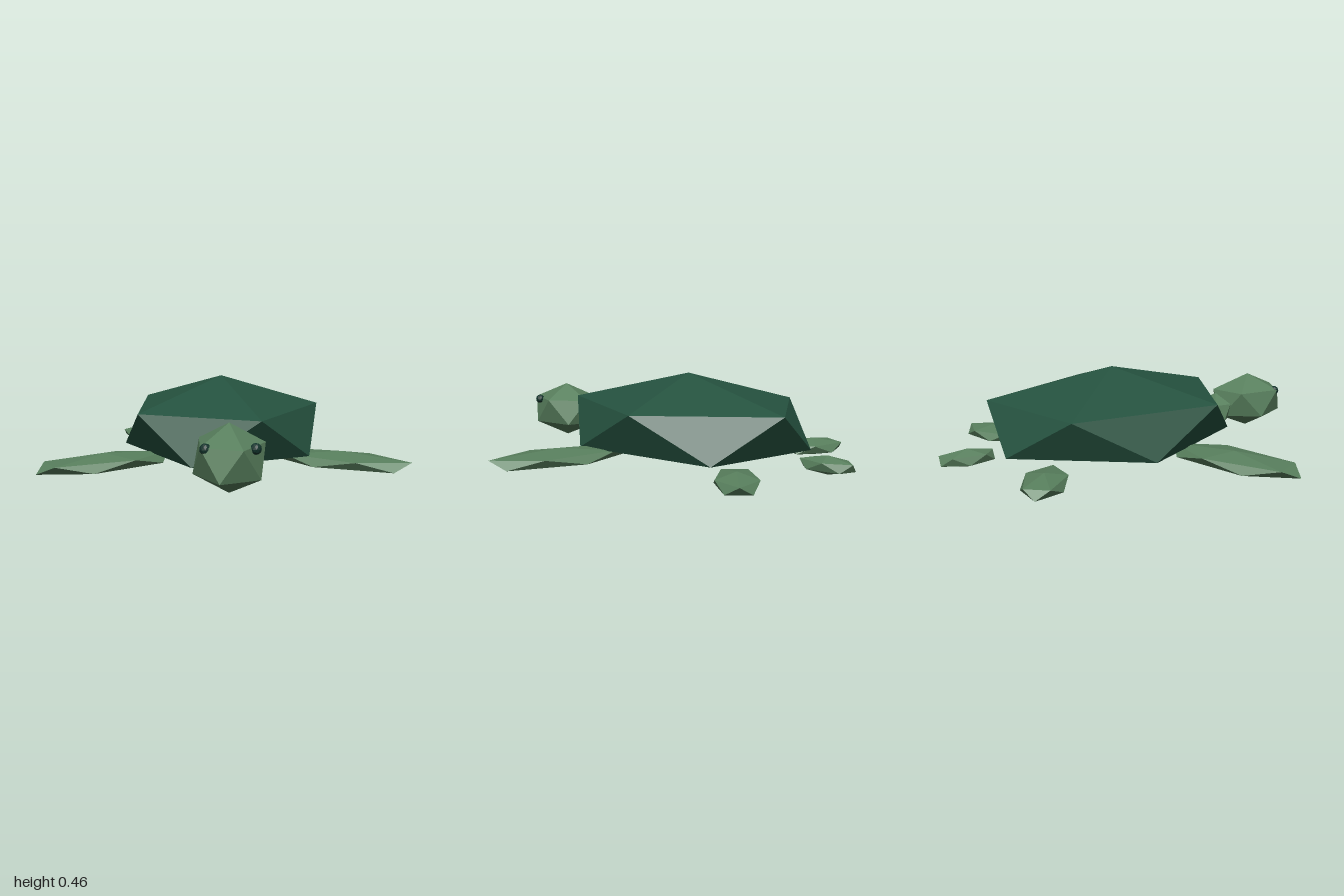
import * as THREE from 'three';

const material = (name, color) => {
  const m = new THREE.MeshStandardMaterial({ color, flatShading: true });
  m.name = name;
  return m;
};

// Icosahedron standing on a vertex, with one upper-ring corner on +x
function icoGeometry(detail = 0) {
  const h = 1 / Math.sqrt(5), r = 2 * h;
  const verts = [0, 1, 0];
  const faces = [];
  for (const [y, turn] of [[h, 0], [-h, Math.PI / 5]]) {
    for (let i = 0; i < 5; i++) {
      const a = turn + (i * Math.PI * 2) / 5;
      verts.push(r * Math.cos(a), y, r * Math.sin(a));
    }
  }
  verts.push(0, -1, 0);
  for (let i = 0; i < 5; i++) {
    const u0 = 1 + i, u1 = 1 + ((i + 1) % 5);
    const l0 = u0 + 5, l1 = u1 + 5;
    faces.push(0, u1, u0, u0, u1, l0, l0, u1, l1, l0, l1, 11);
  }
  return new THREE.PolyhedronGeometry(verts, faces, 1, detail);
}

export function createModel() {
  const turtle = new THREE.Group();
  turtle.name = 'turtle';
  const shellGreen = material('shell green', 0x25523f);
  const skinGreen = material('skin green', 0x587f5d);
  const eyeDark = material('eye dark green', 0x12332b);

  // Stretched icosahedron, turned about the vertical axis, optionally cut flat below
  function blob(name, mat, pos, radii, turn = 0, floor = -Infinity, detail = 0) {
    const geo = icoGeometry(detail).scale(...radii);
    const p = geo.attributes.position;
    for (let i = 0; i < p.count; i++) p.setY(i, Math.max(p.getY(i), floor - pos[1]));
    geo.computeVertexNormals();
    const mesh = new THREE.Mesh(geo, mat);
    mesh.name = name;
    mesh.position.set(...pos);
    mesh.rotation.y = turn;
    turtle.add(mesh);
  }

  // Shell with a flat belly
  blob('shell', shellGreen, [0, 0.185, -0.073], [0.592, 0.28, 0.752], 0, 0.092);

  // Head, neck and tail
  blob('head', skinGreen, [0, 0.19, 0.8], [0.177, 0.155, 0.235]);
  blob('neck', skinGreen, [0, 0.152, 0.585], [0.117, 0.097, 0.093]);
  blob('tail', skinGreen, [0, 0.07, -0.865], [0.078, 0.047, 0.159]);

  // Flippers, rear legs and eyes on both sides
  for (const [side, s] of [['left', 1], ['right', -1]]) {
    blob(side + 'FrontFlipper', skinGreen, [s * 0.595, 0.07, 0.322], [0.39, 0.047, 0.153], -s * 0.508);
    blob(side + 'RearLeg', skinGreen, [s * 0.437, 0.05, -0.61], [0.2, 0.047, 0.12], s * 0.57);
    blob(side + 'Eye', eyeDark, [s * 0.105, 0.253, 0.92], [0.025, 0.025, 0.025], 0, -Infinity, 1);
  }
  return turtle;
}
